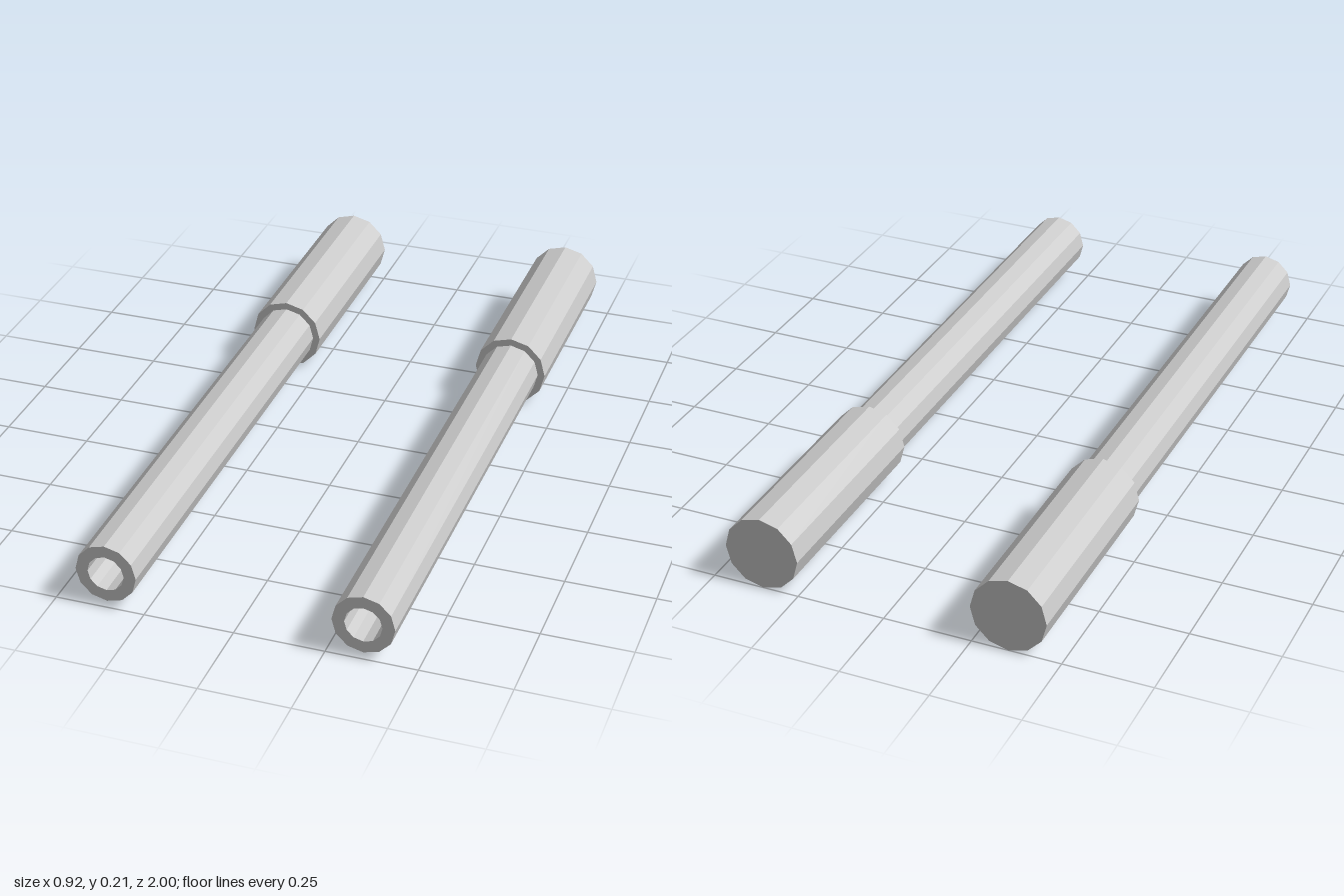
import * as THREE from 'three';

const SIDES = 12;
const GRIP_R = 0.106, BARREL_R = 0.085, BORE_R = 0.051;
const BACK = -1, STEP = -0.365, FRONT = 1;

// Turned part along z from [radius, z] pairs, listed from the back axis point outward
function turned(name, profile, material) {
  const geometry = new THREE.LatheGeometry(profile.map(([r, z]) => new THREE.Vector2(r, z)), SIDES);
  geometry.rotateX(Math.PI / 2);
  const mesh = new THREE.Mesh(geometry, material);
  mesh.name = name;
  return mesh;
}

export function createModel() {
  const model = new THREE.Group();
  model.name = 'pairOfTubes';
  const material = new THREE.MeshStandardMaterial({ color: 0xcccccc, flatShading: true });

  for (const side of [-1, 1]) {
    const tube = new THREE.Group();
    tube.name = side > 0 ? 'leftTube' : 'rightTube';

    // Thick closed rear section with a shoulder at the step
    tube.add(turned('rearSleeve', [[0, BACK], [GRIP_R, BACK], [GRIP_R, STEP], [BARREL_R, STEP]], material));

    // Slim barrel, front rim and blind bore
    tube.add(turned('barrel', [
      [BARREL_R, STEP], [BARREL_R, FRONT], [BORE_R, FRONT], [BORE_R, STEP], [0, STEP],
    ], material));

    tube.position.set(side * 0.353, GRIP_R, 0);
    model.add(tube);
  }
  return model;
}
